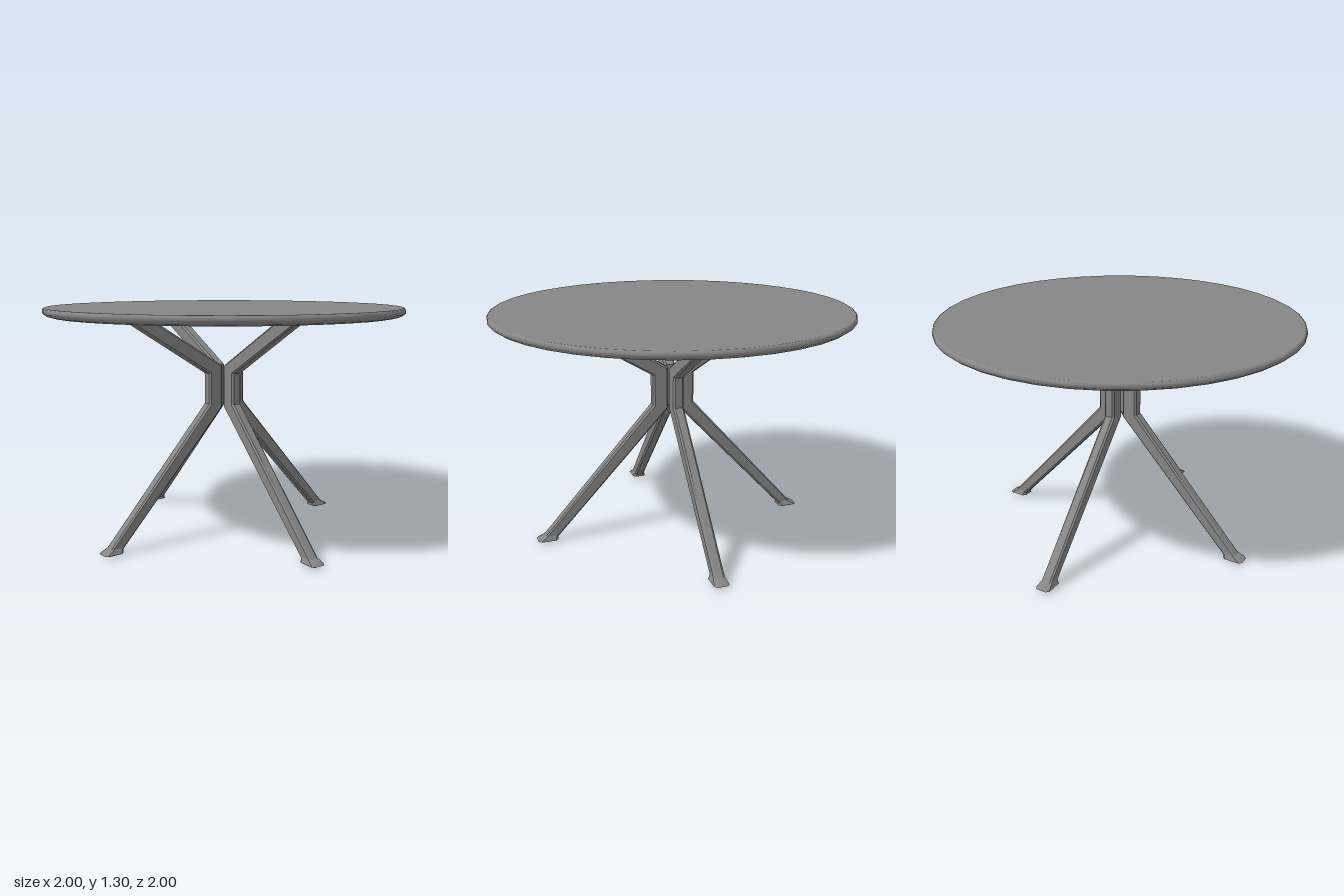
import * as THREE from 'three';
import { toCreasedNormals } from 'three/addons/utils/BufferGeometryUtils.js';

const material = new THREE.MeshStandardMaterial({ color: 0x868686 });

function part(name, geometry, crease = 0.5) {
  const mesh = new THREE.Mesh(toCreasedNormals(geometry, crease), material);
  mesh.name = name;
  return mesh;
}

const points = (list) => list.map(([x, y]) => new THREE.Vector2(x, y));

// Bent leg: splayed foot end, upright middle, and an arm up into the top
function legGeometry() {
  const width = 0.062, bevel = 0.01;
  const shape = new THREE.Shape(points([
    [0.705, 0.02], [0.785, 0.02], [0.121, 0.76], [0.121, 0.934],
    [0.686, 1.275], [0.536, 1.275], [0.032, 0.975], [0.032, 0.735],
  ]));
  const geometry = new THREE.ExtrudeGeometry(shape, {
    depth: width - 2 * bevel, bevelEnabled: true, bevelSegments: 1,
    bevelSize: bevel, bevelThickness: bevel, bevelOffset: -bevel,
  });
  return geometry.translate(0, 0, bevel - width / 2);
}

// Flared foot: stacked eight-sided rings [y, inner, outer, half width]
function footGeometry() {
  const rings = [[0.009, 0.706, 0.804, 0.036], [0.014, 0.697, 0.814, 0.043],
    [0.02, 0.699, 0.804, 0.04], [0.045, 0.695, 0.757, 0.029]];
  const position = [], index = [], n = 8;
  for (const [y, x0, x1, w] of rings) {
    const c = w * 0.35;
    for (const [x, z] of [[x0 + c, -w], [x1 - c, -w], [x1, c - w], [x1, w - c],
      [x1 - c, w], [x0 + c, w], [x0, w - c], [x0, c - w]]) position.push(x, y, z);
  }
  for (let r = 0; r < rings.length - 1; r++) {
    for (let i = 0; i < n; i++) {
      const a = r * n + i, b = r * n + (i + 1) % n;
      index.push(a, a + n, b, b, a + n, b + n);
    }
  }
  const top = (rings.length - 1) * n;
  for (let i = 1; i < n - 1; i++) {
    index.push(0, i, i + 1, top, top + i + 1, top + i);
  }
  const geometry = new THREE.BufferGeometry();
  geometry.setAttribute('position', new THREE.Float32BufferAttribute(position, 3));
  geometry.setIndex(index);
  return geometry;
}

// Round top: rounded rim closed by a flat face above and below
function tableTop() {
  const sides = 40, low = [0.952, 1.255], high = [0.988, 1.305];
  const rim = points([low, [0.98, 1.262], [1, 1.277], [1, 1.292], [0.997, 1.3], high]);
  const upper = new THREE.CircleGeometry(high[0], sides).rotateX(-Math.PI / 2);
  const lower = new THREE.CircleGeometry(low[0], sides).rotateX(Math.PI / 2);
  const group = new THREE.Group();
  group.name = 'tableTop';
  group.add(
    part('rim', new THREE.LatheGeometry(rim, sides), 1),
    part('upperFace', upper.translate(0, high[1], 0)),
    part('underside', lower.translate(0, low[1], 0)),
  );
  return group;
}

export function createModel() {
  const table = new THREE.Group();
  table.name = 'roundTable';
  table.add(tableTop());

  // Four equal legs, turned slightly off the main axes
  for (let i = 0; i < 4; i++) {
    const leg = new THREE.Group();
    leg.name = 'leg' + (i + 1);
    leg.add(part('legFrame', legGeometry(), 0.3));
    leg.add(part('foot', footGeometry()));
    const pad = part('footPad', new THREE.CylinderGeometry(0.016, 0.016, 0.012, 16));
    pad.position.set(0.772, 0.006, 0);
    leg.add(pad);
    leg.rotation.y = -THREE.MathUtils.degToRad(9) + i * Math.PI / 2;
    table.add(leg);
  }
  return table;
}
